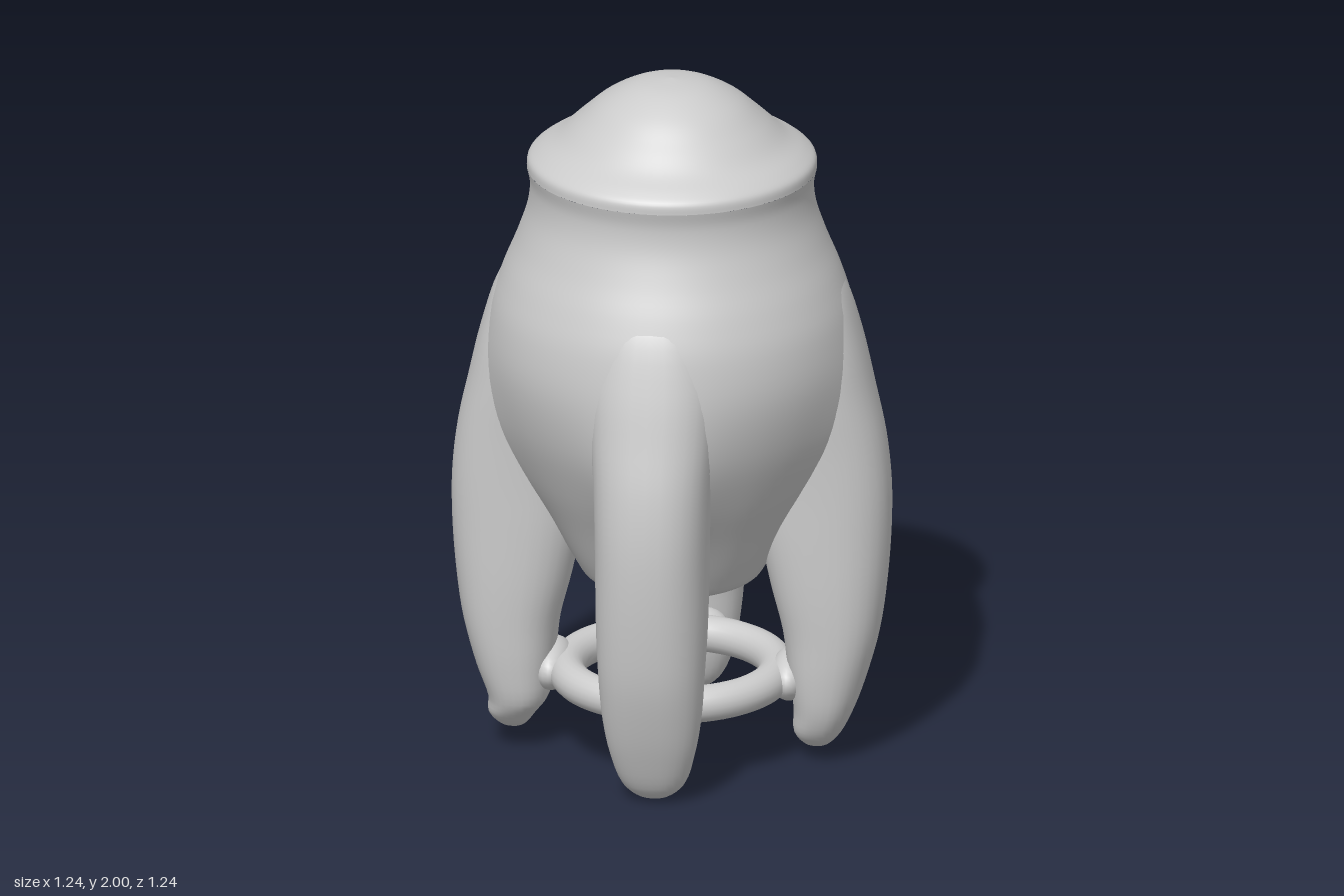
import * as THREE from 'three';
import { mergeVertices } from 'three/addons/utils/BufferGeometryUtils.js';

const material = new THREE.MeshStandardMaterial({ color: 0xcccccc });

// Smooth curve through [radius, y] points, sampled as Vector2s
function profile(points, samples) {
  return new THREE.SplineCurve(points.map(([r, y]) => new THREE.Vector2(r, y))).getPoints(samples);
}

function addMesh(parent, name, geometry) {
  const mesh = new THREE.Mesh(geometry, material);
  mesh.name = name;
  parent.add(mesh);
  return mesh;
}

// Capsule body: lathe with soft swellings where the four legs grow out
function bodyGeometry() {
  const points = profile([
    [0, 0.54], [0.14, 0.53], [0.23, 0.53], [0.27, 0.58], [0.34, 0.72], [0.41, 0.86],
    [0.475, 1.02], [0.51, 1.18], [0.505, 1.32], [0.475, 1.43], [0.435, 1.53], [0.405, 1.62],
    [0.397, 1.69], [0.406, 1.74],
  ], 60);
  points[0].x = 0;
  const geometry = new THREE.LatheGeometry(points, 96);
  const p = geometry.attributes.position;
  for (let i = 0; i < p.count; i++) {
    const x = p.getX(i), y = p.getY(i), z = p.getZ(i);
    const angle = Math.atan2(x, z);
    const off = angle - Math.round(angle / (Math.PI / 2)) * Math.PI / 2;
    const rise = Math.exp(-(((y - 0.92) / 0.24) ** 2));
    const k = 1 + 0.13 * rise * Math.exp(-((off / 0.36) ** 2));
    p.setXYZ(i, x * k, y, z * k);
  }
  geometry.deleteAttribute('uv');
  geometry.deleteAttribute('normal');
  const welded = mergeVertices(geometry, 1e-4);
  welded.computeVertexNormals();
  return welded;
}

// Leg pointing along +z: rounded sections [y, inner, outer, half width] lofted upward
function legGeometry(foot, footRadius) {
  const sections = [
    [foot, footRadius, footRadius, 0],
    [foot + 0.012, footRadius - 0.035, footRadius + 0.035, 0.045],
    [foot + 0.05, footRadius - 0.065, footRadius + 0.07, 0.088],
    [0.15, 0.345, 0.515, 0.12], [0.25, 0.33, 0.55, 0.138], [0.38, 0.315, 0.585, 0.148],
    [0.52, 0.28, 0.605, 0.155], [0.68, 0.25, 0.617, 0.158], [0.82, 0.25, 0.617, 0.16],
    [0.96, 0.25, 0.602, 0.165], [1.1, 0.25, 0.572, 0.175], [1.25, 0.25, 0.537, 0.18],
    [1.4, 0.25, 0.488, 0.15], [1.46, 0.3, 0.44, 0.1], [1.47, 0.37, 0.37, 0],
  ];
  const curveA = new THREE.CatmullRomCurve3(sections.map(([y, a, b]) => new THREE.Vector3(a, y, b)));
  const curveB = new THREE.CatmullRomCurve3(sections.map(([y, , , w]) => new THREE.Vector3(w, y, 0)));
  const rows = 56, sides = 32, position = [], index = [];
  for (let i = 0; i <= rows; i++) {
    const a = curveA.getPoint(i / rows), w = Math.max(0, curveB.getPoint(i / rows).x);
    for (let j = 0; j < sides; j++) {
      const t = j / sides * Math.PI * 2, c = Math.cos(t), s = Math.sin(t);
      const round = (v) => Math.sign(v) * Math.abs(v) ** 0.85;
      position.push(w * round(s), a.y, (a.x + a.z) / 2 + (a.z - a.x) / 2 * round(c));
      if (i < rows) {
        const n = (j + 1) % sides, q = i * sides;
        index.push(q + j, q + n, q + sides + j, q + n, q + sides + n, q + sides + j);
      }
    }
  }
  const geometry = new THREE.BufferGeometry();
  geometry.setAttribute('position', new THREE.Float32BufferAttribute(position, 3));
  geometry.setIndex(index);
  const welded = mergeVertices(geometry, 1e-5);
  welded.computeVertexNormals();
  return welded;
}

export function createModel() {
  const model = new THREE.Group();
  model.name = 'rocket';
  addMesh(model, 'body', bodyGeometry());

  // Domed nose with a rounded rim
  const nose = profile([
    [0.406, 1.74], [0.402, 1.768], [0.375, 1.792], [0.32, 1.828], [0.26, 1.883],
    [0.19, 1.942], [0.1, 1.986], [0, 2],
  ], 36);
  nose[nose.length - 1].x = 0;
  addMesh(model, 'nose', new THREE.LatheGeometry(nose, 64));

  // Four legs: front, left, back, right, each with its own foot height
  const feet = [[0, 0.4], [0.03, 0.41], [0.02, 0.435], [0.05, 0.445]];
  feet.forEach(([foot, radius], i) => {
    const leg = new THREE.Group();
    leg.name = ['frontLeg', 'leftLeg', 'backLeg', 'rightLeg'][i];
    leg.rotation.y = i * Math.PI / 2;
    addMesh(leg, 'legFin', legGeometry(foot, radius));
    // Flared joint between leg and ring
    const joint = addMesh(leg, 'ringJoint', new THREE.SphereGeometry(1, 24, 16));
    joint.scale.set(0.12, 0.07, 0.06);
    joint.position.set(0, 0.24, 0.335);
    model.add(leg);
  });

  // Ring tying the legs together
  const ring = addMesh(model, 'ring', new THREE.TorusGeometry(0.295, 0.052, 20, 72));
  ring.rotation.x = Math.PI / 2;
  ring.position.y = 0.238;
  return model;
}
